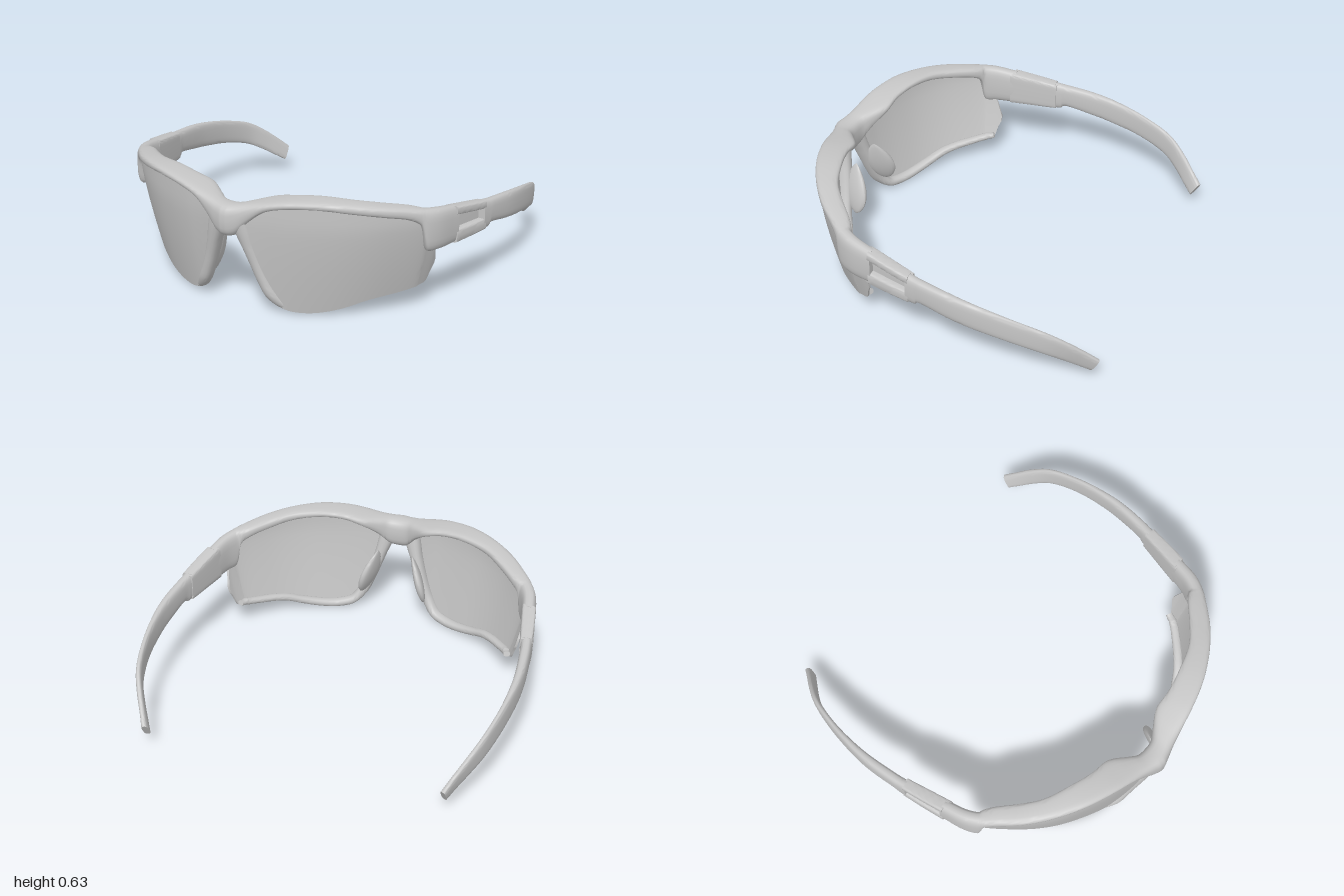
import * as THREE from 'three';
import { toCreasedNormals } from 'three/addons/utils/BufferGeometryUtils.js';

const V = (x, y, z) => new THREE.Vector3(x, y, z);

// Skins a row of closed rings, caps both ends and turns the faces outward.
function loft(rings, crease = 0.75) {
  const n = rings[0].length, m = rings.length, pts = rings.flat(), idx = [];
  for (let i = 0; i < m - 1; i++) for (let j = 0; j < n; j++) {
    const a = i * n + j, b = i * n + (j + 1) % n, c = a + n, d = b + n;
    idx.push(a, b, d, a, d, c);
  }
  const middle = r => r.reduce((s, p) => s.add(p), V(0, 0, 0)).divideScalar(n);
  pts.push(middle(rings[0]), middle(rings[m - 1]));
  for (let j = 0; j < n; j++) {
    const k = (j + 1) % n, o = (m - 1) * n;
    idx.push(n * m, k, j, n * m + 1, o + j, o + k);
  }
  let volume = 0;
  for (let i = 0; i < idx.length; i += 3)
    volume += pts[idx[i]].dot(V(0, 0, 0).crossVectors(pts[idx[i + 1]], pts[idx[i + 2]]));
  if (volume < 0) idx.reverse();
  const g = new THREE.BufferGeometry().setFromPoints(pts);
  g.setIndex(idx);
  return toCreasedNormals(g, crease);
}

// Rounded section spanned by two half axes.
function section(c, a, b, power, n = 24) {
  const soft = v => Math.sign(v) * Math.abs(v) ** power;
  return Array.from({ length: n }, (_, i) => {
    const t = (i / n) * Math.PI * 2;
    return c.clone().addScaledVector(a, soft(Math.cos(t))).addScaledVector(b, soft(Math.sin(t)));
  });
}

// Bar from stations [outer x, outer z, inner x, inner z, top y, bottom y, lean].
function bar(stations, power = 0.65, steps = 5) {
  const outer = new THREE.CatmullRomCurve3(stations.map(s => V(s[0], s[4], s[1])));
  const inner = new THREE.CatmullRomCurve3(stations.map(s => V(s[2], s[5], s[3])));
  const lean = new THREE.CatmullRomCurve3(stations.map((s, i) => V(i, s[6] || 0, 0)));
  const count = (stations.length - 1) * steps, rings = [];
  for (let i = 0; i <= count; i++) {
    const o = outer.getPoint(i / count), n = inner.getPoint(i / count);
    const a = V((o.x - n.x) / 2, 0, (o.z - n.z) / 2);
    const b = V(0, (o.y - n.y) / 2, -lean.getPoint(i / count).y);
    rings.push(section(o.add(n).multiplyScalar(0.5), a, b, power));
  }
  return loft(rings);
}

const flip = s => [-s[0], s[1], -s[2], s[3], s[4], s[5], s[6]];

// Brow, from the bridge out to the front of the temple window.
const BROW = [
  [0, 0.922, 0, 0.79, 0.568, 0.405],
  [0.05, 0.908, 0.05, 0.785, 0.571, 0.415],
  [0.11, 0.888, 0.10, 0.755, 0.582, 0.475],
  [0.20, 0.865, 0.19, 0.70, 0.602, 0.55],
  [0.30, 0.84, 0.29, 0.69, 0.62, 0.578],
  [0.45, 0.788, 0.42, 0.655, 0.63, 0.588],
  [0.60, 0.705, 0.56, 0.60, 0.62, 0.57],
  [0.72, 0.61, 0.66, 0.52, 0.60, 0.545],
  [0.81, 0.51, 0.75, 0.435, 0.578, 0.515],
  [0.85, 0.465, 0.79, 0.405, 0.566, 0.48],
  [0.874, 0.44, 0.812, 0.385, 0.56, 0.345],
  [0.908, 0.37, 0.838, 0.33, 0.55, 0.337],
  [0.936, 0.236, 0.862, 0.236, 0.53, 0.335],
];

// Two rails above and below the temple window.
const RAILS = [[0.53, 0.485, 0.487, 0.443], [0.407, 0.335, 0.392, 0.33]].map(([t0, b0, t1, b1]) => [
  [0.934, 0.25, 0.862, 0.25, t0, b0],
  [0.957, 0.13, 0.888, 0.13, (t0 + t1) / 2, (b0 + b1) / 2],
  [0.976, 0.012, 0.914, 0.012, t1, b1],
]);

// Inner wall that closes the back of the window.
const WALL = [
  [0.896, 0.26, 0.857, 0.26, 0.528, 0.338],
  [0.921, 0.13, 0.885, 0.13, 0.506, 0.336],
  [0.944, 0.0, 0.914, 0.0, 0.482, 0.334],
];

// Temple arm, from the back of the window to the ear tip.
const ARM = [
  [0.975, 0.027, 0.912, 0.027, 0.489, 0.33],
  [0.982, -0.025, 0.923, -0.025, 0.48, 0.331],
  [0.984, -0.038, 0.926, -0.038, 0.478, 0.345],
  [0.999, -0.20, 0.946, -0.20, 0.458, 0.318],
  [0.997, -0.32, 0.952, -0.32, 0.438, 0.295],
  [0.973, -0.51, 0.94, -0.505, 0.395, 0.258],
  [0.93, -0.685, 0.90, -0.675, 0.335, 0.208, 0.008],
  [0.882, -0.78, 0.852, -0.768, 0.267, 0.157, 0.015],
  [0.836, -0.85, 0.806, -0.84, 0.198, 0.107, 0.02],
  [0.803, -0.905, 0.773, -0.89, 0.145, 0.07, 0.022],
];

// Lens columns [x, z, top y, bottom y] along the wrapped front.
const LENS = [
  [0.10, 0.89, 0.50, 0.44], [0.13, 0.882, 0.545, 0.33], [0.165, 0.873, 0.57, 0.18],
  [0.20, 0.865, 0.58, 0.09], [0.28, 0.846, 0.595, 0.024], [0.40, 0.805, 0.605, 0.008],
  [0.55, 0.735, 0.60, 0.035], [0.68, 0.643, 0.58, 0.08], [0.80, 0.522, 0.55, 0.105],
  [0.865, 0.44, 0.53, 0.12], [0.885, 0.395, 0.36, 0.126], [0.898, 0.355, 0.35, 0.135],
  [0.906, 0.31, 0.255, 0.225],
];
const lensTop = new THREE.CatmullRomCurve3(LENS.map(c => V(c[0], c[2], c[1])));
const lensLow = new THREE.CatmullRomCurve3(LENS.map(c => V(c[0], c[3], c[1])));

function lensNormal(u) {
  const a = lensTop.getPoint(Math.max(u - 0.02, 0)), b = lensTop.getPoint(Math.min(u + 0.02, 1));
  return V(a.z - b.z, 0, b.x - a.x).normalize();
}

// Point on the lens; it curls inward towards the bottom.
function lensPoint(u, v, depth) {
  const p = lensLow.getPoint(u).lerp(lensTop.getPoint(u), v);
  const drop = Math.max(0, (0.5 - p.y) / 0.5) ** 1.3;
  return p.addScaledVector(lensNormal(u), -(0.015 + (0.04 + 0.09 * p.x) * drop + depth));
}

function lensGeometry(side) {
  const rings = [], rows = 14;
  for (let i = 0; i <= 60; i++) {
    const ring = [];
    for (let j = 0; j <= rows; j++) ring.push(lensPoint(i / 60, j / rows, 0));
    for (let j = rows; j >= 0; j--) ring.push(lensPoint(i / 60, j / rows, 0.012));
    rings.push(ring.map(p => p.setX(p.x * side)));
  }
  return loft(rings, 0.6);
}

// Nose leg that runs on as the lower rim, behind the lens, to its rear corner.
function rimGeometry(side) {
  const nodes = [
    [V(0.06, 0.49, 0.85), V(0, 0, 1), 0.05, 0.045],
    [V(0.082, 0.425, 0.84), V(0, 0, 1), 0.042, 0.045],
    [V(0.103, 0.355, 0.828), V(0, 0, 1), 0.034, 0.044],
    [V(0.13, 0.27, 0.813), V(0, 0, 1), 0.031, 0.042],
    [V(0.16, 0.185, 0.80), V(0, 0, 1), 0.03, 0.04],
    [V(0.196, 0.105, 0.785), V(0, 0, 1), 0.03, 0.037],
  ];
  for (let i = 0; i <= 12; i++) {
    const u = 0.33 + 0.58 * i / 12;
    const p = lensPoint(u, 0, 0.028);
    p.y += 0.016;
    nodes.push([p, lensNormal(u), 0.023 - 0.009 * i / 12, 0.03 - 0.012 * i / 12]);
  }
  const path = new THREE.CatmullRomCurve3(nodes.map(k => k[0]));
  const rings = [], last = nodes.length - 1, count = last * 4;
  for (let i = 0; i <= count; i++) {
    const f = i / 4, k = Math.min(Math.floor(f), last - 1), w = f - k;
    const A = nodes[k], B = nodes[k + 1], mix = THREE.MathUtils.lerp;
    const t = path.getTangent(i / count);
    const out = A[1].clone().lerp(B[1], w);
    out.addScaledVector(t, -out.dot(t)).normalize();
    const across = t.clone().cross(out);
    const ring = section(path.getPoint(i / count), across.multiplyScalar(mix(A[2], B[2], w)),
      out.multiplyScalar(mix(A[3], B[3], w)), 0.8, 16);
    rings.push(ring.map(p => p.setX(p.x * side)));
  }
  return loft(rings);
}

// Teardrop nose pad, flattened across and reaching back from the leg.
function padGeometry(side) {
  const rings = [];
  for (let i = 0; i <= 20; i++) {
    const t = i / 20, r = Math.max(0.02, Math.sin(Math.PI * t ** 1.2) ** 0.6);
    const c = V(0.10 + 0.085 * t, 0.39 - 0.27 * t, 0.75 - 0.025 * t);
    const ring = section(c, V(0.026, 0, -0.072).multiplyScalar(r), V(0.022, 0.007, 0.008).multiplyScalar(r), 0.8, 16);
    rings.push(ring.map(p => p.setX(p.x * side)));
  }
  return loft(rings);
}

export function createModel() {
  const model = new THREE.Group();
  model.name = 'sportGlasses';
  const grey = new THREE.MeshStandardMaterial({ color: 0xc6c6c6 });
  grey.name = 'grey';
  const add = (name, geometry) => {
    const mesh = new THREE.Mesh(geometry, grey);
    mesh.name = name;
    model.add(mesh);
  };

  add('browFrame', bar([...BROW.slice(1).reverse().map(flip), ...BROW]));
  for (const [label, side] of [['left', 1], ['right', -1]]) {
    const place = list => (side > 0 ? list : list.map(flip));
    add(label + 'WindowTopRail', bar(place(RAILS[0]), 0.4));
    add(label + 'WindowBottomRail', bar(place(RAILS[1]), 0.4));
    add(label + 'WindowWall', bar(place(WALL), 0.4));
    add(label + 'TempleArm', bar(place(ARM)));
    add(label + 'Lens', lensGeometry(side));
    add(label + 'NoseLegAndRim', rimGeometry(side));
    add(label + 'NosePad', padGeometry(side));
  }
  return model;
}
